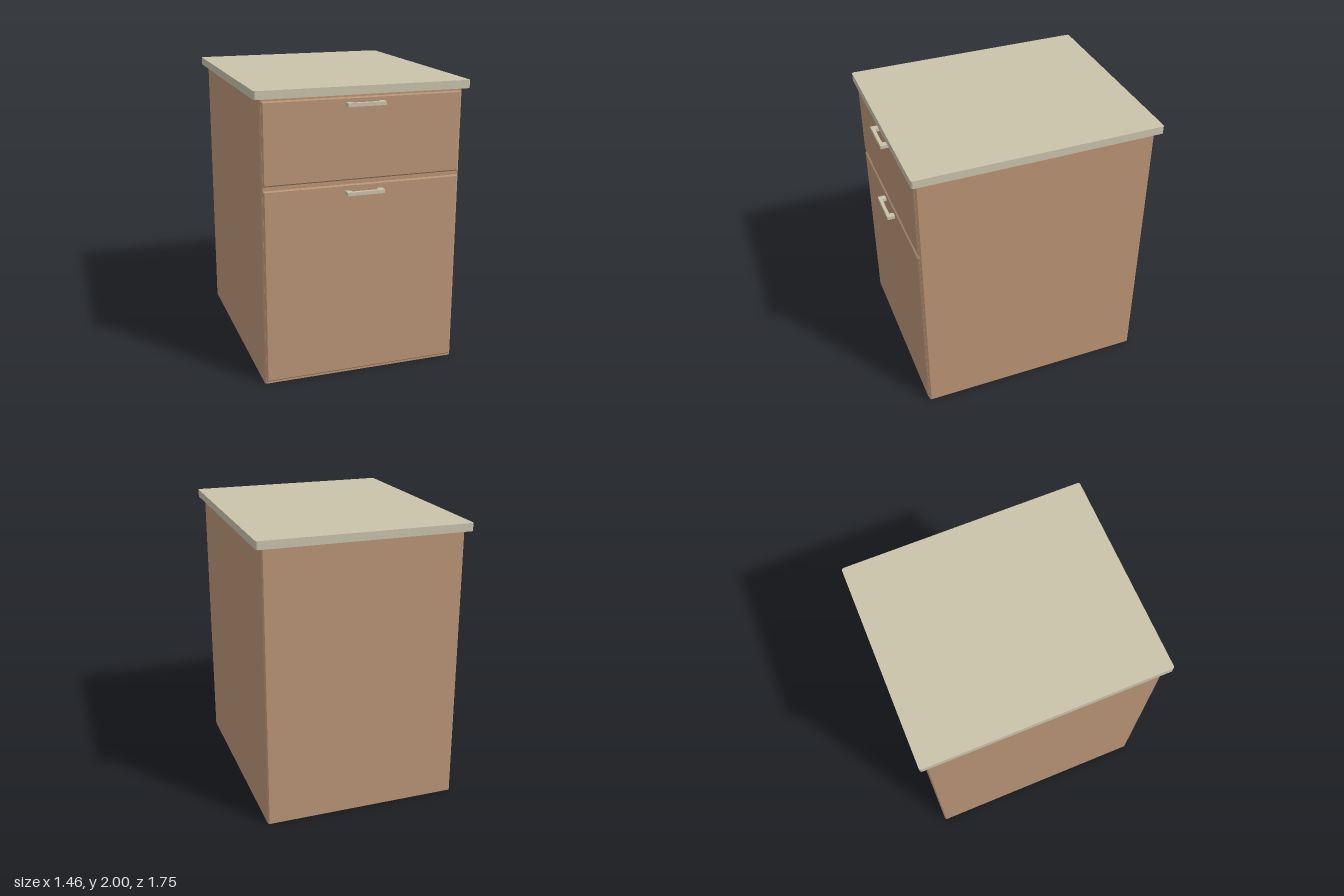
import * as THREE from 'three';

const wood = new THREE.MeshStandardMaterial({ color: 0xb99375 });
wood.name = 'wood';
const stone = new THREE.MeshStandardMaterial({ color: 0xc9c3ab });
stone.name = 'pale stone';

// Rectangle outline with cut corners
function cutRect(x0, y0, x1, y1, c) {
  return new THREE.Shape([
    [x0 + c, y0], [x1 - c, y0], [x1, y0 + c], [x1, y1 - c],
    [x1 - c, y1], [x0 + c, y1], [x0, y1 - c], [x0, y0 + c],
  ].map(([x, y]) => new THREE.Vector2(x, y)));
}

// Rectangle outline with round corners
function roundRect(x0, y0, x1, y1, r) {
  const s = new THREE.Shape();
  s.absarc(x1 - r, y1 - r, r, 0, Math.PI / 2);
  s.absarc(x0 + r, y1 - r, r, Math.PI / 2, Math.PI);
  s.absarc(x0 + r, y0 + r, r, Math.PI, Math.PI * 1.5);
  s.absarc(x1 - r, y0 + r, r, Math.PI * 1.5, Math.PI * 2);
  s.closePath();
  return s;
}

// Plan outline (drawn with y = -z) raised from y0 to y1
function slab(name, shape, y0, y1, material) {
  const g = new THREE.ExtrudeGeometry(shape, { depth: y1 - y0, bevelEnabled: false, curveSegments: 4 });
  g.rotateX(-Math.PI / 2).translate(0, y0, 0);
  const m = new THREE.Mesh(g, material);
  m.name = name;
  return m;
}

// Bevelled front panel, its back half sunk into the carcass
function panel(name, y0, y1) {
  const b = 0.009, w = 0.679;
  const shape = new THREE.Shape([[-w, y0], [w, y0], [w, y1], [-w, y1]]
    .map(([x, y]) => new THREE.Vector2(x - Math.sign(x) * b, y + (y === y0 ? b : -b))));
  const g = new THREE.ExtrudeGeometry(shape, {
    depth: 0.006, bevelThickness: b, bevelSize: b, bevelSegments: 1,
  });
  g.translate(0, 0, 0.82 - 0.006 - b);
  const m = new THREE.Mesh(g, wood);
  m.name = name;
  return m;
}

// U-shaped pull: two posts and a bar
function handle(name, y) {
  const plan = new THREE.Shape([
    [-0.13, -0.815], [-0.13, -0.873], [0.13, -0.873], [0.13, -0.815],
    [0.095, -0.815], [0.088, -0.85], [-0.088, -0.85], [-0.095, -0.815],
  ].map(([x, z]) => new THREE.Vector2(x, z)));
  return slab(name, plan, y - 0.012, y + 0.012, stone);
}

export function createModel() {
  const model = new THREE.Group();
  model.name = 'drawerCabinet';
  model.add(
    slab('carcass', cutRect(-0.69, -0.81, 0.69, 0.833, 0.01), 0, 1.945, wood),
    slab('worktop', roundRect(-0.732, -0.843, 0.732, 0.873, 0.015), 1.945, 2, stone),
    panel('drawerFront', 1.382, 1.928),
    panel('lowerFront', 0.015, 1.355),
    handle('drawerHandle', 1.885),
    handle('lowerHandle', 1.302),
  );
  // Thin rail between the two fronts
  const rail = new THREE.Mesh(new THREE.BoxGeometry(1.36, 0.014, 0.008), wood);
  rail.name = 'middleRail';
  rail.position.set(0, 1.3685, 0.808);
  model.add(rail);
  return model;
}
